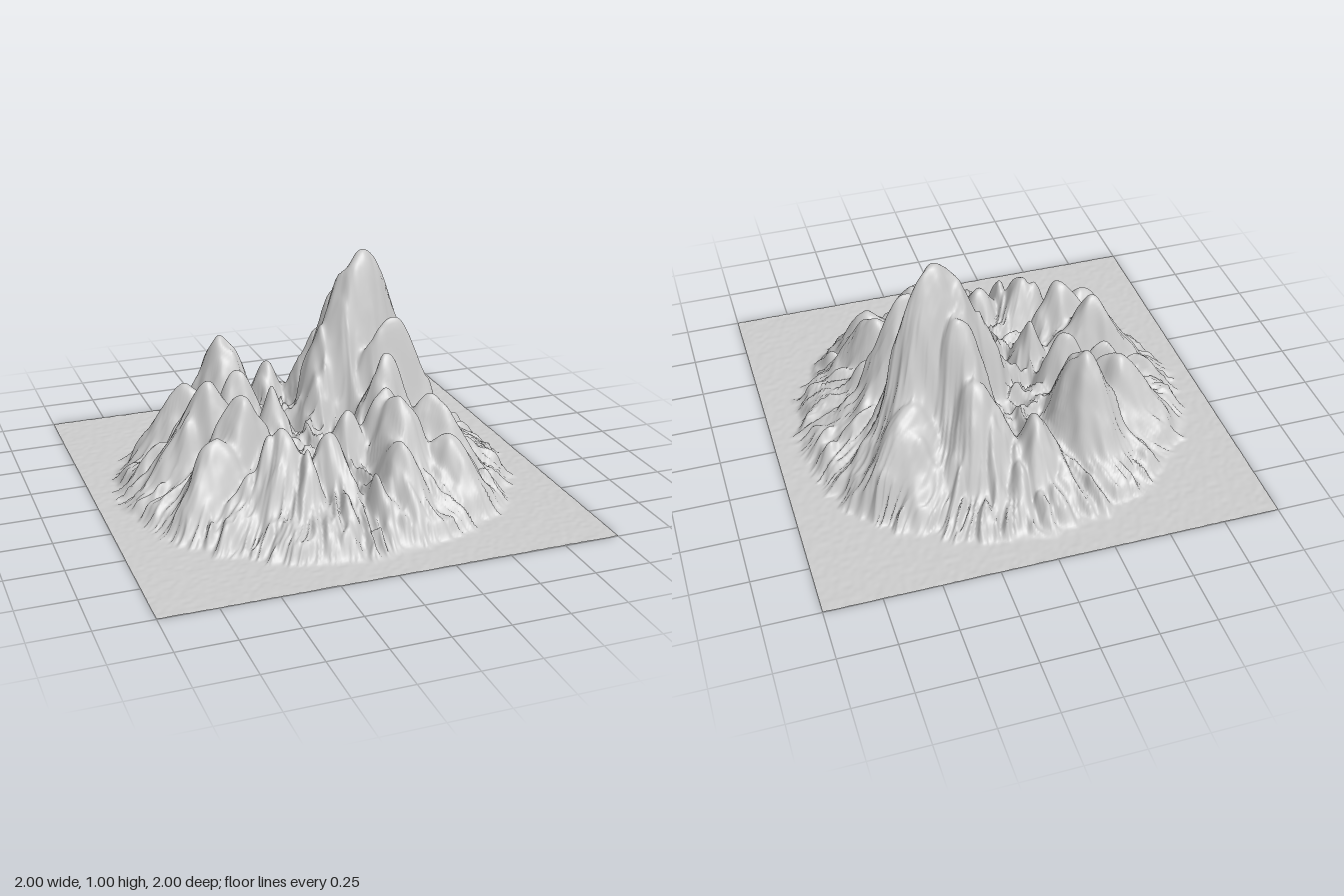
import * as THREE from 'three';

// Seeded lattice hash and smooth 3D value noise
const hash = (i, j, k) => {
  let n = Math.imul(i, 374761393) ^ Math.imul(j, 668265263) ^ Math.imul(k, 1274126177);
  n = Math.imul(n ^ (n >>> 13), 1103515245);
  return ((n ^ (n >>> 16)) >>> 0) / 4294967295;
};
const mix = (a, b, t) => a + (b - a) * t;
function noise(x, y, z) {
  const i = Math.floor(x), j = Math.floor(y), k = Math.floor(z);
  const f = (t) => t * t * (3 - 2 * t);
  const u = f(x - i), v = f(y - j), w = f(z - k);
  const layer = (c) => mix(
    mix(hash(i, j, c), hash(i + 1, j, c), u),
    mix(hash(i, j + 1, c), hash(i + 1, j + 1, c), u), v);
  return mix(layer(k), layer(k + 1), w);
}
const ridge = (x, y, z) => 1 - Math.min(1, 1.7 * Math.abs(2 * noise(x, y, z) - 1));

// Summits and spurs: x, z, height, half-length, half-width, heading (radians, towards -z)
const PEAKS = [
  [0.285, -0.18, 1.0, 0.34, 0.175, 0.5],  // main summit
  [0.23, -0.3, 0.79, 0.2, 0.18, 1.2],     // rear shoulder
  [0.2, -0.45, 0.55, 0.2, 0.18, 0],
  [0.48, -0.4, 0.45, 0.25, 0.17, 0.6],
  [0.07, -0.12, 0.57, 0.12, 0.12, 0],     // west spur of the summit
  [0.36, 0.0, 0.73, 0.28, 0.12, 0],       // east ridge
  [0.31, 0.09, 0.53, 0.2, 0.1, 0],
  [0.27, 0.18, 0.62, 0.2, 0.13, 0],       // front steps
  [0.25, 0.28, 0.5, 0.18, 0.12, 0],
  [0.25, 0.38, 0.5, 0.18, 0.15, -0.9],
  [0.46, 0.28, 0.44, 0.2, 0.15, -0.5],
  [0.06, 0.27, 0.43, 0.15, 0.13, 0],
  [0.44, 0.48, 0.33, 0.18, 0.13, -0.8],
  [0.2, 0.53, 0.37, 0.18, 0.12, -1.2],
  [-0.08, 0.42, 0.39, 0.12, 0.16, 0],
  [-0.49, 0.03, 0.54, 0.25, 0.13, 0],     // west ridge
  [-0.4, 0.18, 0.52, 0.2, 0.14, 0.2],
  [-0.33, -0.14, 0.5, 0.17, 0.12, -0.2],
  [-0.2, 0.02, 0.47, 0.13, 0.1, 0],
  [-0.31, -0.4, 0.58, 0.2, 0.18, 2.2],    // north-west summit
  [-0.52, -0.28, 0.42, 0.22, 0.15, 2.7],
  [-0.29, 0.4, 0.43, 0.2, 0.15, 0.9],
  [-0.54, 0.3, 0.38, 0.21, 0.14, 0.5],
  [-0.04, -0.52, 0.38, 0.14, 0.18, 0]
];

// Rings of smaller spurs pointing outward: count, radius, height, half-length, half-width
for (const [count, radius, height, len, wid] of [
  [17, 0.5, 0.33, 0.16, 0.07], [27, 0.62, 0.23, 0.14, 0.05], [41, 0.73, 0.12, 0.1, 0.035]]) {
  for (let i = 0; i < count; i++) {
    const a = ((i + 0.7 * hash(i, count, 1)) / count) * Math.PI * 2;
    const r = radius + 0.08 * (hash(i, count, 2) - 0.5);
    PEAKS.push([r * 1.03 * Math.cos(a), r * Math.sin(a),
      height * (0.8 + 0.4 * hash(i, count, 3)), len, wid, -a]);
  }
}

// Gullies running outward from the centre, finer with each octave
function gullies(x, z) {
  const r = Math.hypot(x, z);
  const a = Math.atan2(z, x) + 0.12 * (noise(x * 5 + 20, z * 5 + 20, 3) - 0.5);
  const c = Math.cos(a), s = Math.sin(a);
  let sum = 0, amp = 0.34;
  for (const k of [5, 11, 22, 42]) {
    sum += amp * ridge(c * k + 50, s * k + 50, r * (2 + k * 0.2));
    amp *= 0.75;
  }
  return sum;
}

function heightAt(x0, z0) {
  // Warp the plan so that crests wander
  const warp = (v) => 0.05 * (noise(x0 * 7 + 30, z0 * 7 + 30, v) - 0.5)
    + 0.025 * (noise(x0 * 18 + 30, z0 * 18 + 30, v) - 0.5);
  const x = x0 + warp(21), z = z0 + warp(33);
  const r = Math.hypot(x0, z0);
  const radial = gullies(x0, z0);
  const crag = 0.6 * ridge(x * 8 + 9, z * 8 + 9, 7) + 0.4 * ridge(x * 18 + 5, z * 18 + 5, 11);
  const rough = mix(crag, radial, THREE.MathUtils.smoothstep(r, 0.15, 0.5));

  // Footslopes on a slightly oval outline, deepened by the gullies
  const edge = 0.86 + 0.05 * (x0 / (r + 1e-6)) ** 2 + 0.12 * (radial - 0.4);
  const foot = Math.max(0, 1 - r / edge);
  const base = 0.34 * (1 - Math.exp(-foot * 2.5)) * (0.6 + 0.5 * rough);

  // Smooth maximum of all summits, eroded away from each crest
  let sum = base ** 8;
  for (const [px, pz, h, len, wid, dir] of PEAKS) {
    const dx = x - px, dz = z - pz, c = Math.cos(dir), s = Math.sin(dir);
    const g = Math.exp(-(((dx * c - dz * s) / len) ** 2) - ((dx * s + dz * c) / wid) ** 2);
    sum += (h * g * (1 - 0.5 * (1 - rough) * (1 - g))) ** 8;
  }
  const rim = THREE.MathUtils.smoothstep(foot, 0, 0.12);
  const ground = 0.002 + 0.003 * noise(x0 * 45 + 60, z0 * 45 + 60, 2);
  return Math.min(1, ground + sum ** 0.125 * rim);
}

export function createModel() {
  const model = new THREE.Group();
  model.name = 'mountain';

  // Fine grid lifted into an open terrain sheet
  const geometry = new THREE.PlaneGeometry(2, 2, 255, 255).rotateX(-Math.PI / 2);
  const p = geometry.attributes.position;
  for (let i = 0; i < p.count; i++) p.setY(i, heightAt(p.getX(i), p.getZ(i)));
  geometry.computeVertexNormals();

  const terrain = new THREE.Mesh(geometry,
    new THREE.MeshStandardMaterial({ color: 0xcccccc, side: THREE.DoubleSide }));
  terrain.name = 'terrain';
  model.add(terrain);
  return model;
}
